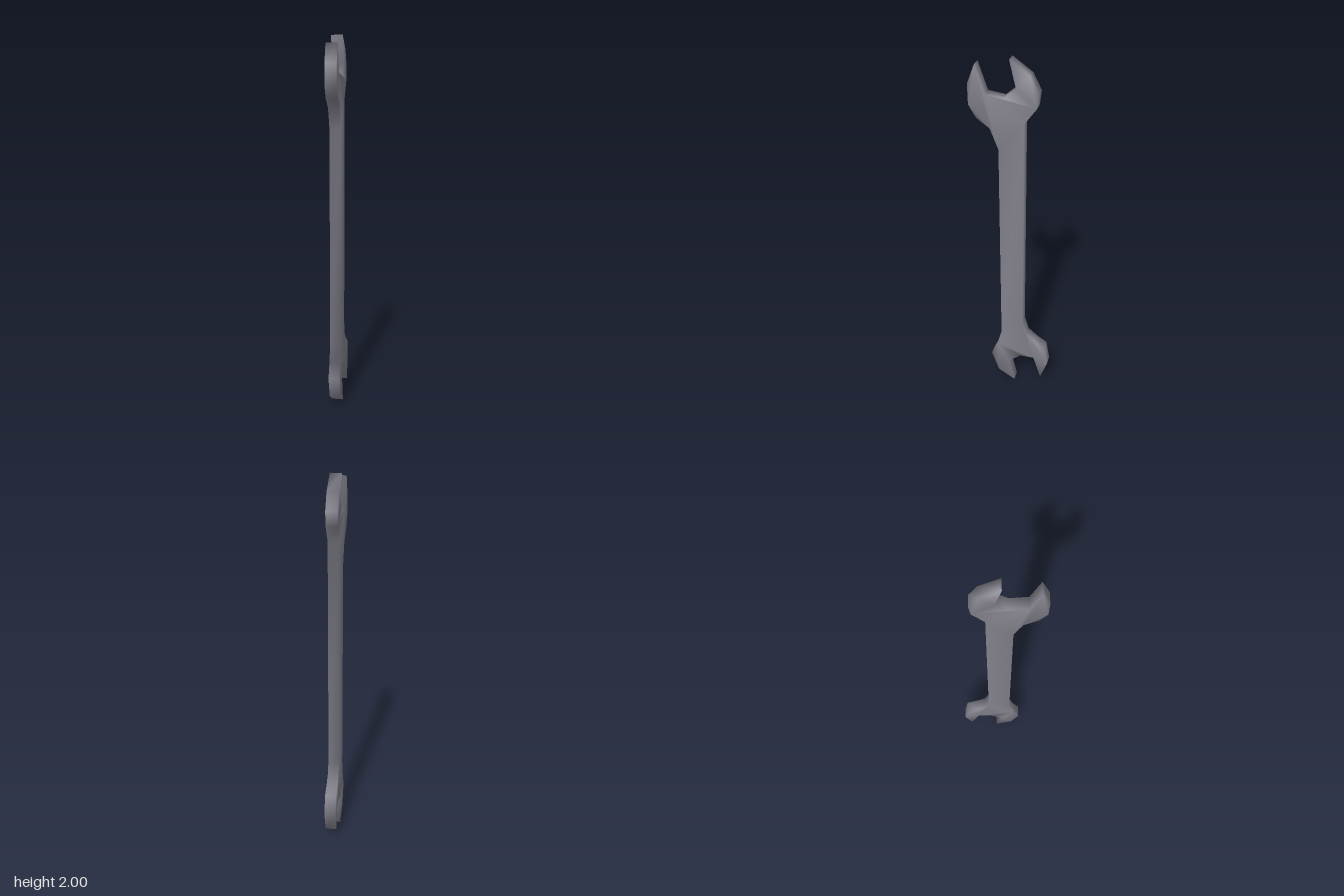
import * as THREE from 'three';
import { mergeVertices } from 'three/addons/utils/BufferGeometryUtils.js';

const THICKNESS = 0.06;

// Outline sections as [z, y] points, running once round the spanner
const upperFrontJaw = [[0.13, 1.815], [0.18, 1.96], [0.217, 1.86], [0.215, 1.755], [0.178, 1.69], [0.108, 1.64]];
const shankFrontEdge = [[0.064, 1.53], [0.057, 0.36]];
const lowerFrontJaw = [[0.082, 0.26], [0.117, 0.18], [0.075, 0.06], [-0.02, 0], [0.012, 0.14]];
const lowerBackJaw = [[-0.056, 0.197], [-0.135, 0.197], [-0.178, 0.06], [-0.217, 0.17], [-0.198, 0.284], [-0.138, 0.323]];
const shankBackEdge = [[-0.09, 0.366], [-0.066, 0.445], [-0.066, 1.682]];
const upperBackJaw = [[-0.128, 1.768], [-0.137, 1.843], [-0.094, 1.928], [0.008, 2], [-0.025, 1.86], [0.04, 1.803]];

// Extrude the outline across x, then weld it so the normals run smoothly over the edges
function smoothPlate(points, thickness) {
  const shape = new THREE.Shape(points.map(([z, y]) => new THREE.Vector2(z, y)));
  const plate = new THREE.ExtrudeGeometry(shape, { depth: thickness, bevelEnabled: false });
  plate.translate(0, 0, -thickness / 2);
  plate.rotateY(-Math.PI / 2);
  plate.deleteAttribute('normal');
  plate.deleteAttribute('uv');
  plate.clearGroups();
  const welded = mergeVertices(plate, 1e-4);
  welded.computeVertexNormals();
  return welded;
}

export function createModel() {
  const steel = new THREE.MeshStandardMaterial({ color: 0x84838e });
  steel.name = 'steel';

  // Shank and both open jaws are one forged piece
  const outline = [
    ...upperFrontJaw, ...shankFrontEdge, ...lowerFrontJaw,
    ...lowerBackJaw, ...shankBackEdge, ...upperBackJaw,
  ];
  const body = new THREE.Mesh(smoothPlate(outline, THICKNESS), steel);
  body.name = 'spannerBody';

  const model = new THREE.Group();
  model.name = 'openEndedSpanner';
  model.add(body);
  return model;
}
